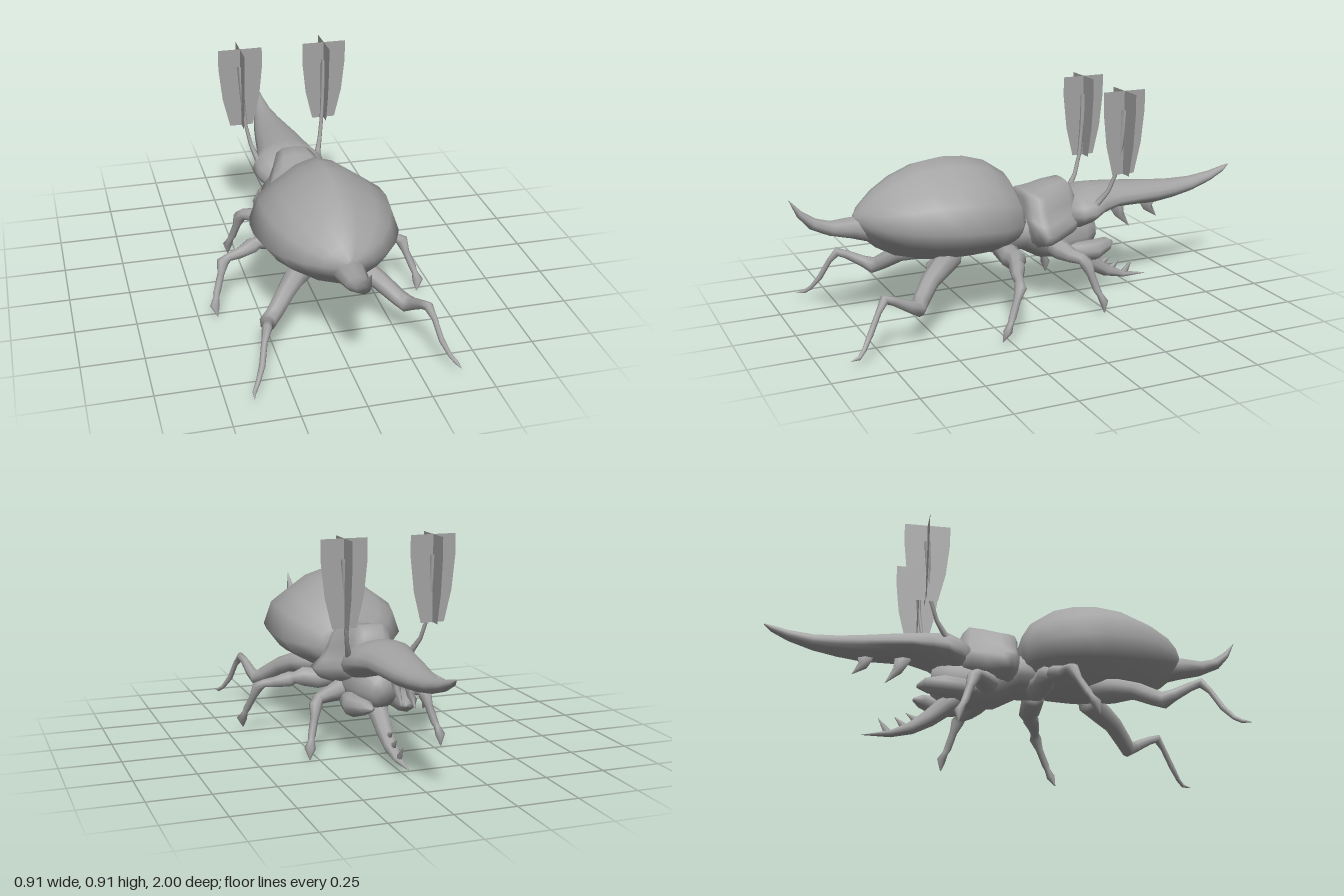
import * as THREE from 'three';

const shell = new THREE.MeshStandardMaterial({ color: 0xa3a3a3 });
shell.name = 'grey shell';
shell.side = THREE.DoubleSide;

// Skin a list of rings (arrays of Vector3), closing both ends at their centres
function skin(rings) {
  const n = rings[0].length;
  const centre = r => r.reduce((s, p) => s.add(p), new THREE.Vector3()).divideScalar(n);
  const all = [rings[0].map(() => centre(rings[0])), ...rings,
    rings[0].map(() => centre(rings[rings.length - 1]))];
  const pos = [], idx = [];
  all.forEach(r => r.forEach(p => pos.push(p.x, p.y, p.z)));
  for (let i = 0; i < all.length - 1; i++) for (let j = 0; j < n; j++) {
    const a = i * n + j, b = i * n + (j + 1) % n;
    if (i > 0) idx.push(a, b, b + n);
    if (i < all.length - 2) idx.push(a, b + n, a + n);
  }
  const g = new THREE.BufferGeometry();
  g.setAttribute('position', new THREE.Float32BufferAttribute(pos, 3));
  g.setIndex(idx);
  g.computeVertexNormals();
  return g;
}

// Symmetric body: stations [z, top, middle, bottom, half width], z rising
function body(stations, half) {
  const loop = [...half.map(([u, v]) => [-u, v]),
    ...half.slice(1, -1).reverse()];
  return skin(stations.map(([z, t, m, b, w]) => loop.map(([u, v]) =>
    new THREE.Vector3(u * w, m + v * (v > 0 ? t - m : m - b), z))));
}

// Tapered limb: stations [x, y, z, radius, second radius]
function limb(stations, sides = 8, ref = [1, 0, 0]) {
  const pts = stations.map(s => new THREE.Vector3(s[0], s[1], s[2]));
  const N = new THREE.Vector3(...ref);
  return skin(pts.map((p, i) => {
    const T = pts[Math.min(i + 1, pts.length - 1)].clone()
      .sub(pts[Math.max(i - 1, 0)]).normalize();
    N.addScaledVector(T, -N.dot(T)).normalize();
    const B = T.clone().cross(N);
    const [, , , r, r2 = r] = stations[i];
    return Array.from({ length: sides }, (_, k) => {
      const a = k / sides * Math.PI * 2;
      return p.clone().addScaledVector(N, Math.cos(a) * r).addScaledVector(B, Math.sin(a) * r2);
    });
  }));
}

const round = Array.from({ length: 9 }, (_, i) =>
  [Math.sin(i * Math.PI / 8), Math.cos(i * Math.PI / 8)]);

export function createModel() {
  const model = new THREE.Group();
  const add = (name, geometry, parent = model) => {
    const m = new THREE.Mesh(geometry, shell);
    m.name = name;
    parent.add(m);
    return m;
  };

  // Wing case with a broad angular flank
  add('abdomen', body([
    [0.05, 0.47, 0.40, 0.31, 0.11], [0.065, 0.52, 0.40, 0.28, 0.15],
    [0.10, 0.58, 0.405, 0.262, 0.205], [0.19, 0.642, 0.41, 0.25, 0.265],
    [0.28, 0.668, 0.42, 0.246, 0.284], [0.37, 0.675, 0.425, 0.245, 0.287],
    [0.48, 0.66, 0.43, 0.258, 0.27], [0.58, 0.62, 0.435, 0.285, 0.228],
    [0.66, 0.57, 0.44, 0.33, 0.165], [0.71, 0.525, 0.445, 0.375, 0.10],
    [0.745, 0.485, 0.45, 0.41, 0.025],
  ], [[0, 1], [0.28, 0.9], [0.63, 0.62], [0.87, 0.42], [1, 0],
    [0.8, -0.42], [0.36, -0.83], [0, -1]]));

  add('tail', limb([
    [0, 0.40, 0.64, 0.07, 0.055], [0, 0.425, 0.75, 0.06, 0.045],
    [0, 0.433, 0.84, 0.045, 0.03], [0, 0.46, 0.91, 0.03, 0.024],
    [0, 0.505, 0.96, 0.015, 0.014], [0, 0.565, 1.0, 0.001],
  ]));

  // Saddle-shaped shield behind the head
  add('pronotum', body([
    [-0.215, 0.44, 0.36, 0.30, 0.09], [-0.19, 0.50, 0.36, 0.28, 0.115],
    [-0.165, 0.53, 0.36, 0.27, 0.135], [-0.10, 0.52, 0.345, 0.25, 0.165],
    [-0.04, 0.502, 0.335, 0.25, 0.205], [-0.01, 0.497, 0.34, 0.25, 0.21],
    [0.02, 0.50, 0.36, 0.26, 0.165], [0.035, 0.48, 0.37, 0.27, 0.125],
  ], [[0, 1], [0.35, 0.98], [0.55, 0.86], [0.66, 0.5], [0.8, 0.2], [1, 0],
    [0.85, -0.5], [0.4, -0.9], [0, -1]]));

  add('chest', body([
    [-0.31, 0.34, 0.29, 0.23, 0.05], [-0.25, 0.38, 0.28, 0.195, 0.09],
    [-0.16, 0.42, 0.28, 0.185, 0.11], [-0.05, 0.42, 0.30, 0.195, 0.12],
    [0.04, 0.42, 0.33, 0.245, 0.12], [0.15, 0.40, 0.33, 0.245, 0.12],
  ], round));

  // Long upper horn with wide cheeks at its base
  add('upperHorn', body([
    [-1.0, 0.499, 0.496, 0.493, 0.002], [-0.97, 0.492, 0.478, 0.465, 0.014],
    [-0.90, 0.474, 0.452, 0.43, 0.025], [-0.80, 0.461, 0.428, 0.398, 0.04],
    [-0.70, 0.46, 0.42, 0.38, 0.06], [-0.60, 0.466, 0.418, 0.37, 0.08],
    [-0.50, 0.476, 0.42, 0.375, 0.096], [-0.40, 0.486, 0.42, 0.38, 0.11],
    [-0.32, 0.49, 0.41, 0.36, 0.13], [-0.26, 0.49, 0.395, 0.33, 0.16],
    [-0.21, 0.47, 0.385, 0.31, 0.145], [-0.16, 0.44, 0.38, 0.31, 0.11],
  ], round));

  // Teeth under the horn
  [[-0.43, 0.39, -0.50, 0.27], [-0.585, 0.385, -0.635, 0.30]].forEach(([z, y, tz, ty]) =>
    add('hornTooth', limb([
      [0, y, z, 0.025, 0.04], [0, (y + ty) / 2, z * 0.35 + tz * 0.65 + 0.025, 0.017, 0.022],
      [0, ty, tz, 0.001]], 6)));

  // Curved lower horn and its spikes
  add('lowerHorn', limb([
    [0, 0.24, -0.18, 0.06, 0.045], [0, 0.185, -0.25, 0.042, 0.042],
    [0, 0.125, -0.32, 0.036, 0.035], [0, 0.08, -0.39, 0.03, 0.026],
    [0, 0.052, -0.47, 0.02, 0.014], [0, 0.04, -0.585, 0.001],
  ]));
  [[-0.36, 0.11, -0.41, 0.145], [-0.41, 0.08, -0.455, 0.125], [-0.475, 0.05, -0.52, 0.115]]
    .forEach(([z, y, tz, ty]) => add('lowerHornSpike',
      limb([[0, y, z, 0.012, 0.02], [0, ty, tz, 0.001]], 6)));

  for (const s of [1, -1]) {
    const side = new THREE.Group();
    side.name = s > 0 ? 'leftSide' : 'rightSide';
    model.add(side);
    const part = (name, stations, sides) =>
      add(name, limb(stations.map(([x, ...r]) => [s * x, ...r]), sides), side);

    // Mouth lobe beneath the horn
    part('mouthLobe', [
      [0.07, 0.24, -0.13, 0.02], [0.10, 0.225, -0.19, 0.045, 0.04],
      [0.11, 0.225, -0.27, 0.05, 0.045], [0.085, 0.235, -0.34, 0.035, 0.03],
      [0.07, 0.235, -0.375, 0.008]]);

    // Legs, each with swollen joints
    part('frontLeg', [
      [0.06, 0.27, -0.08, 0.05], [0.13, 0.25, -0.11, 0.042], [0.185, 0.24, -0.13, 0.03],
      [0.225, 0.235, -0.155, 0.024], [0.24, 0.215, -0.17, 0.028], [0.25, 0.17, -0.185, 0.017],
      [0.268, 0.105, -0.205, 0.016], [0.275, 0.085, -0.215, 0.013],
      [0.284, 0.055, -0.23, 0.023, 0.018], [0.286, 0.008, -0.232, 0.002]]);
    part('middleLeg', [
      [0.04, 0.27, 0.12, 0.05], [0.14, 0.25, 0.125, 0.045], [0.20, 0.262, 0.13, 0.042],
      [0.23, 0.255, 0.145, 0.026], [0.25, 0.25, 0.15, 0.034], [0.31, 0.235, 0.175, 0.024],
      [0.355, 0.23, 0.187, 0.018], [0.382, 0.215, 0.195, 0.026], [0.395, 0.17, 0.215, 0.015],
      [0.417, 0.11, 0.245, 0.015], [0.423, 0.09, 0.255, 0.012],
      [0.433, 0.06, 0.272, 0.022, 0.018], [0.424, 0.018, 0.288, 0.002]]);
    part('hindLeg', [
      [0.06, 0.27, 0.36, 0.05], [0.14, 0.25, 0.44, 0.045], [0.19, 0.225, 0.50, 0.038],
      [0.25, 0.175, 0.56, 0.034], [0.28, 0.155, 0.585, 0.035], [0.295, 0.175, 0.625, 0.024],
      [0.305, 0.21, 0.69, 0.018], [0.315, 0.225, 0.73, 0.02], [0.332, 0.185, 0.76, 0.012],
      [0.35, 0.11, 0.80, 0.012], [0.375, 0.06, 0.835, 0.009], [0.393, 0.04, 0.86, 0.008],
      [0.40, 0.036, 0.895, 0.001]]);

    // Feathered antenna: bent stalk carrying crossed blades
    part('antennaStalk', [
      [0.12, 0.40, -0.235, 0.024], [0.135, 0.435, -0.27, 0.013], [0.155, 0.49, -0.31, 0.009],
      [0.17, 0.57, -0.338, 0.008], [0.18, 0.70, -0.355, 0.01], [0.185, 0.835, -0.362, 0.014]], 6);
    const blade = new THREE.Shape([[-0.05, 0.565], [0.05, 0.565], [0.08, 0.69],
      [0.095, 0.83], [0.095, 0.915], [-0.095, 0.915], [-0.095, 0.83], [-0.08, 0.69]]
      .map(p => new THREE.Vector2(...p)));
    for (const turn of [0, Math.PI / 2]) {
      const b = add('antennaBlade', new THREE.ShapeGeometry(blade), side);
      b.position.set(s * 0.184, 0, -0.362);
      b.rotation.y = turn;
    }
  }
  return model;
}
